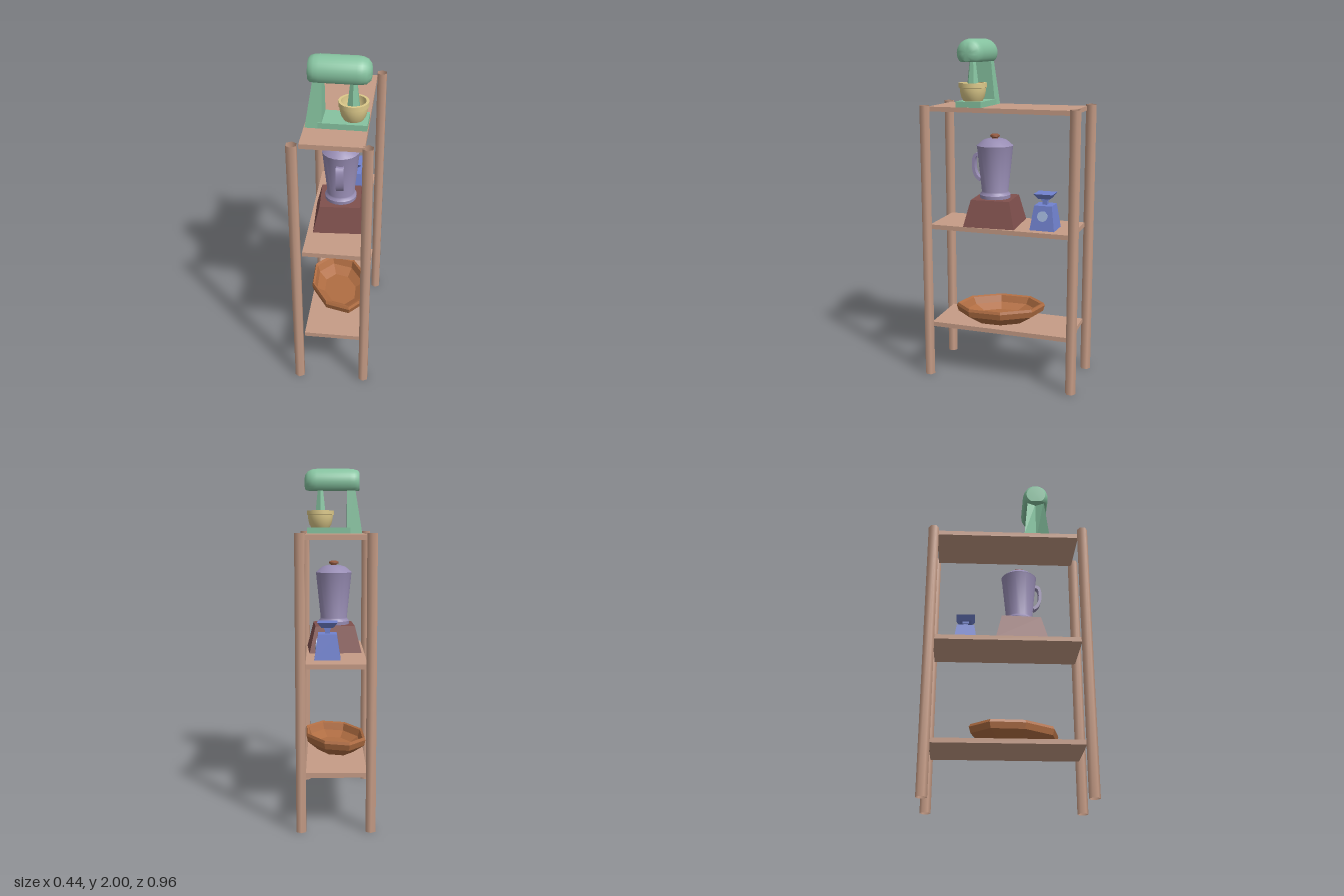
import * as THREE from 'three';
import { toCreasedNormals } from 'three/addons/utils/BufferGeometryUtils.js';

const paint = (color, opts = {}) => new THREE.MeshStandardMaterial({ color, ...opts });
const wood = paint(0xc69c86, { side: THREE.DoubleSide });
const green = paint(0x86c3a0);
const greenFlat = paint(0x86c3a0, { flatShading: true, side: THREE.DoubleSide });
const cream = paint(0xdcc98a, { side: THREE.DoubleSide });
const maroon = paint(0x80504d);
const lilac = paint(0x978cb3);
const brown = paint(0x94593f);
const blue = paint(0x7182cf);
const paleBlue = paint(0xa6badf);
const terracotta = paint(0xb06d42, { flatShading: true, side: THREE.DoubleSide });

function add(parent, name, geometry, material, x = 0, y = 0, z = 0) {
  const mesh = new THREE.Mesh(geometry, material);
  mesh.name = name;
  mesh.position.set(x, y, z);
  parent.add(mesh);
  return mesh;
}

function addGroup(parent, name, x, y, z, yaw = 0) {
  const g = new THREE.Group();
  g.name = name;
  g.position.set(x, y, z);
  g.rotation.y = yaw;
  parent.add(g);
  return g;
}

// Round profile [radius, height], listed from the bottom outside upwards
function lathe(points, sides, crease = 0.6) {
  const g = new THREE.LatheGeometry(points.map(p => new THREE.Vector2(...p)), sides);
  return toCreasedNormals(g, crease);
}

// Square tapered block standing on y = 0, sizes are half widths
function taper(bottom, top, height) {
  const g = new THREE.CylinderGeometry(top * Math.SQRT2, bottom * Math.SQRT2, height, 4);
  g.rotateY(Math.PI / 4).translate(0, height / 2, 0);
  return toCreasedNormals(g, 0.3);
}

// Surface joining two rings of [x, z] points
function joinRings(low, yLow, high, yHigh) {
  const n = low.length, pos = [], index = [];
  low.forEach(([x, z]) => pos.push(x, yLow, z));
  high.forEach(([x, z]) => pos.push(x, yHigh, z));
  for (let i = 0; i < n; i++) {
    const j = (i + 1) % n;
    index.push(i, j, n + j, i, n + j, n + i);
  }
  const g = new THREE.BufferGeometry();
  g.setAttribute('position', new THREE.Float32BufferAttribute(pos, 3));
  g.setIndex(index);
  g.computeVertexNormals();
  return g;
}

function buildRack(root) {
  const rack = addGroup(root, 'rack', 0, 0, 0);
  // Open hexagonal posts
  const posts = [[-0.196, 0.449], [0.191, 0.436], [-0.193, -0.443], [0.189, -0.446]];
  const post = toCreasedNormals(new THREE.CylinderGeometry(0.031, 0.031, 1.63, 6, 1, true), 1.2);
  posts.forEach(([x, z]) => add(rack, 'post', post, wood, x, 0.815, z));
  // Shelves
  [1.608, 0.918, 0.312].forEach(y => {
    add(rack, 'shelf', new THREE.BoxGeometry(0.336, 0.027, 0.85), wood, 0, y, 0).rotation.y = 0.012;
  });
}

function buildMixer(root) {
  const mixer = addGroup(root, 'standMixer', 0, 1.62, 0.179);
  // Head: rounded cylinder lying along x with a flat underside
  const profile = [[0, -0.145], [0.058, -0.143], [0.07, -0.132], [0.076, -0.112], [0.079, -0.085],
    [0.079, 0.11], [0.076, 0.135], [0.066, 0.16], [0.045, 0.177], [0.025, 0.182], [0, 0.183]];
  const head = new THREE.LatheGeometry(profile.map(p => new THREE.Vector2(...p)), 32);
  head.rotateZ(-Math.PI / 2);
  const p = head.attributes.position;
  for (let i = 0; i < p.count; i++) p.setY(i, Math.max(p.getY(i), -0.049));
  add(mixer, 'mixerHead', toCreasedNormals(head, 0.7), green, 0, 0.301, 0);
  // Column with a notched back
  const low = [[-0.1, 0], [-0.16, 0.075], [-0.07, 0.075], [-0.07, -0.075], [-0.16, -0.075]];
  const high = [[-0.09, 0], [-0.117, 0.05], [-0.07, 0.05], [-0.07, -0.05], [-0.117, -0.05]];
  add(mixer, 'mixerColumn', joinRings(low, 0, high, 0.265), greenFlat);
  add(mixer, 'mixerFoot', new THREE.BoxGeometry(0.258, 0.034, 0.152), green, 0.039, 0.017, 0);
  // Beater and mixing bowl
  add(mixer, 'beater', new THREE.CylinderGeometry(0.018, 0.042, 0.2, 6), greenFlat, 0.088, 0.158, 0);
  add(mixer, 'mixingBowl', lathe([[0, 0.03], [0.052, 0.03], [0.066, 0.055], [0.074, 0.09],
    [0.075, 0.108], [0.081, 0.11], [0.081, 0.136], [0.066, 0.136], [0.064, 0.09], [0.045, 0.045],
    [0, 0.042]], 24), cream, 0.089, 0, 0);
}

function buildBlender(root) {
  const blender = addGroup(root, 'blender', 0.009, 0.932, 0.076, 0.07);
  add(blender, 'blenderBase', taper(0.152, 0.115, 0.155), maroon);
  // Collar, jar and lid
  add(blender, 'jar', lathe([[0, 0.155], [0.09, 0.155], [0.091, 0.175], [0.08, 0.187], [0.078, 0.195],
    [0.105, 0.455], [0.107, 0.463], [0.1, 0.468], [0.07, 0.494], [0.045, 0.502], [0, 0.505]], 20), lilac);
  add(blender, 'lidKnob', lathe([[0, 0.495], [0.017, 0.495], [0.017, 0.508], [0.029, 0.515],
    [0.028, 0.524], [0.015, 0.53], [0, 0.53]], 12), brown);
  // Handle: bent strap at the front
  const strap = new THREE.Shape();
  strap.moveTo(0.08, 0.415);
  strap.lineTo(0.115, 0.415);
  strap.quadraticCurveTo(0.14, 0.4, 0.135, 0.33);
  strap.quadraticCurveTo(0.13, 0.27, 0.09, 0.25);
  strap.lineTo(0.08, 0.268);
  strap.quadraticCurveTo(0.112, 0.28, 0.118, 0.33);
  strap.quadraticCurveTo(0.122, 0.385, 0.108, 0.397);
  strap.lineTo(0.08, 0.397);
  const handle = new THREE.ExtrudeGeometry(strap, { depth: 0.044, bevelEnabled: false, curveSegments: 6 });
  handle.translate(0, 0, -0.022).rotateY(-Math.PI / 2);
  add(blender, 'jarHandle', toCreasedNormals(handle, 0.7), lilac);
}

function buildScale(root) {
  const scale = addGroup(root, 'kitchenScale', 0.045, 0.932, -0.243);
  add(scale, 'scaleBody', taper(0.073, 0.052, 0.142), blue);
  add(scale, 'scaleNeck', new THREE.BoxGeometry(0.027, 0.045, 0.027), blue, 0, 0.16, 0);
  add(scale, 'neckCap', new THREE.BoxGeometry(0.04, 0.012, 0.04), blue, 0, 0.172, 0);
  add(scale, 'weighingPan', taper(0.034, 0.056, 0.03), blue, 0, 0.178, 0);
  // Dial lying on the sloping side face
  const dial = new THREE.CylinderGeometry(0.03, 0.03, 0.006, 20);
  add(scale, 'dial', dial, paleBlue, 0.062, 0.083, 0).rotation.z = -Math.PI / 2 + 0.147;
}

function buildDish(root) {
  // Long eight-sided dish, slightly skewed
  const g = new THREE.LatheGeometry([[0, 0], [0.6, 0], [0.96, 0.055], [1, 0.09], [0.97, 0.106],
    [0.9, 0.1], [0.82, 0.06], [0.55, 0.03], [0, 0.03]].map(p => new THREE.Vector2(...p)), 8);
  g.rotateY(Math.PI / 8);
  g.applyMatrix4(new THREE.Matrix4().set(
    0.189, 0, 0.012, 0,
    0, 1, 0, 0,
    0.047, 0, 0.256, 0,
    0, 0, 0, 1));
  add(root, 'dish', g, terracotta, 0.002, 0.327, 0.045);
}

export function createModel() {
  const root = new THREE.Group();
  root.name = 'kitchenRack';
  [buildRack, buildMixer, buildBlender, buildScale, buildDish].forEach(build => build(root));
  return root;
}
